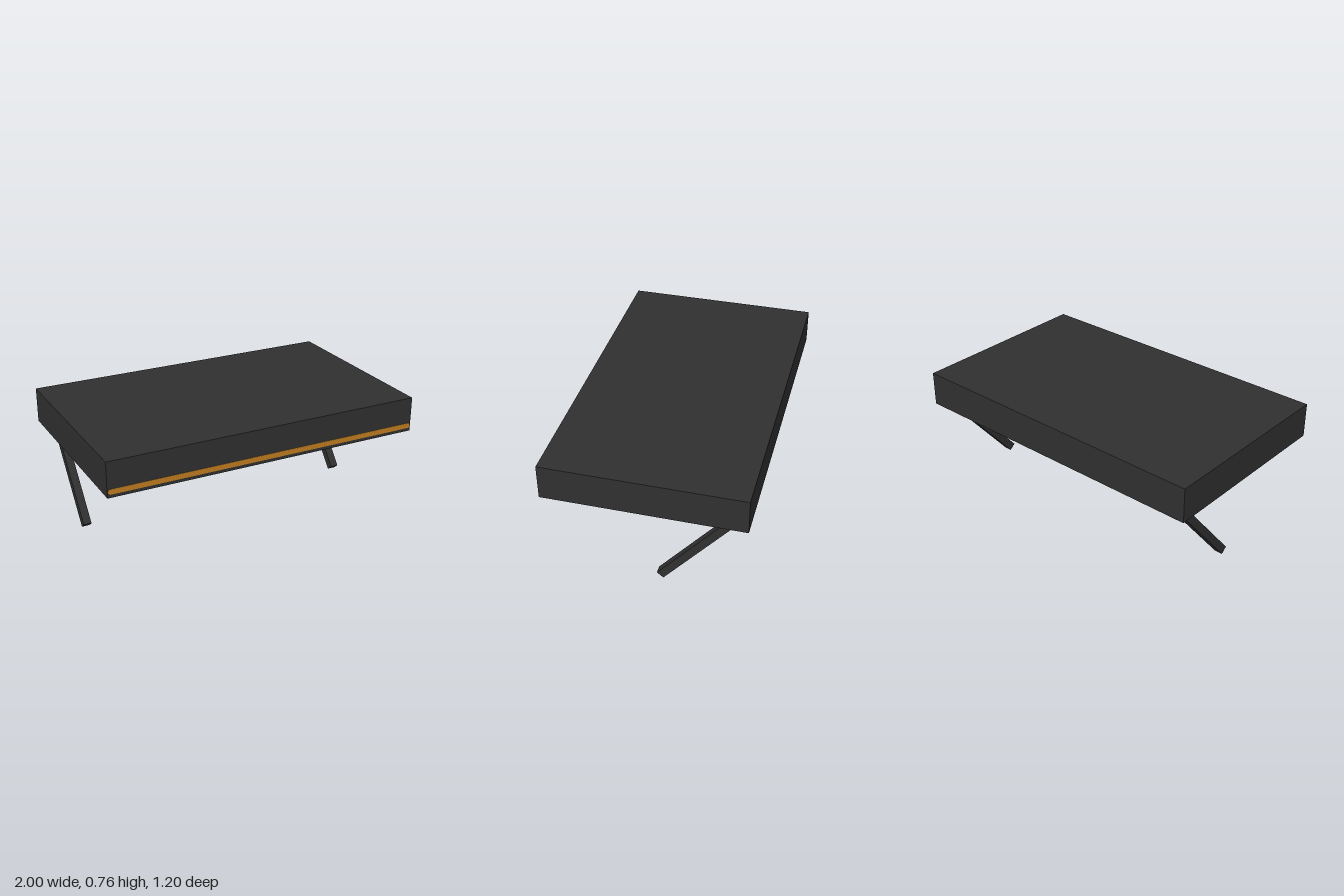
import * as THREE from 'three';

export function createModel() {
  const model = new THREE.Group();
  const charcoal = new THREE.MeshStandardMaterial({ color: 0x303030 });
  charcoal.name = 'charcoal';
  const amber = new THREE.MeshStandardMaterial({ color: 0xc48020 });
  amber.name = 'amber';

  const add = (name, geometry, material, x, y, z) => {
    const mesh = new THREE.Mesh(geometry, material);
    mesh.name = name;
    mesh.position.set(x, y, z);
    model.add(mesh);
    return mesh;
  };

  // Wide flat body
  const bottom = 0.537, top = 0.755;
  add('body', new THREE.BoxGeometry(2, top - bottom, 1.198), charcoal, 0, (top + bottom) / 2, -0.001);

  // Thin round-ended strip along the lower front edge
  const r = 0.016, half = 0.995 - r;
  const outline = new THREE.Shape();
  outline.absarc(half, 0, r, -Math.PI / 2, Math.PI / 2);
  outline.absarc(-half, 0, r, Math.PI / 2, Math.PI * 1.5);
  const strip = new THREE.ExtrudeGeometry(outline, { depth: 0.004, bevelEnabled: false, curveSegments: 8 });
  add('frontStrip', strip, amber, 0, 0.573, 0.596);

  // Square legs slanting forward from the rear underside
  const foot = new THREE.Vector3(0, 0.016, -0.077);
  const hip = new THREE.Vector3(0, 0.57, -0.54);
  const axis = hip.clone().sub(foot);
  const legGeometry = new THREE.BoxGeometry(0.05, axis.length(), 0.05);
  for (const [name, x] of [['leftLeg', 0.9], ['rightLeg', -0.9]]) {
    const leg = add(name, legGeometry, charcoal, x, (foot.y + hip.y) / 2, (foot.z + hip.z) / 2);
    leg.rotation.x = Math.atan2(axis.z, axis.y);
  }
  return model;
}
